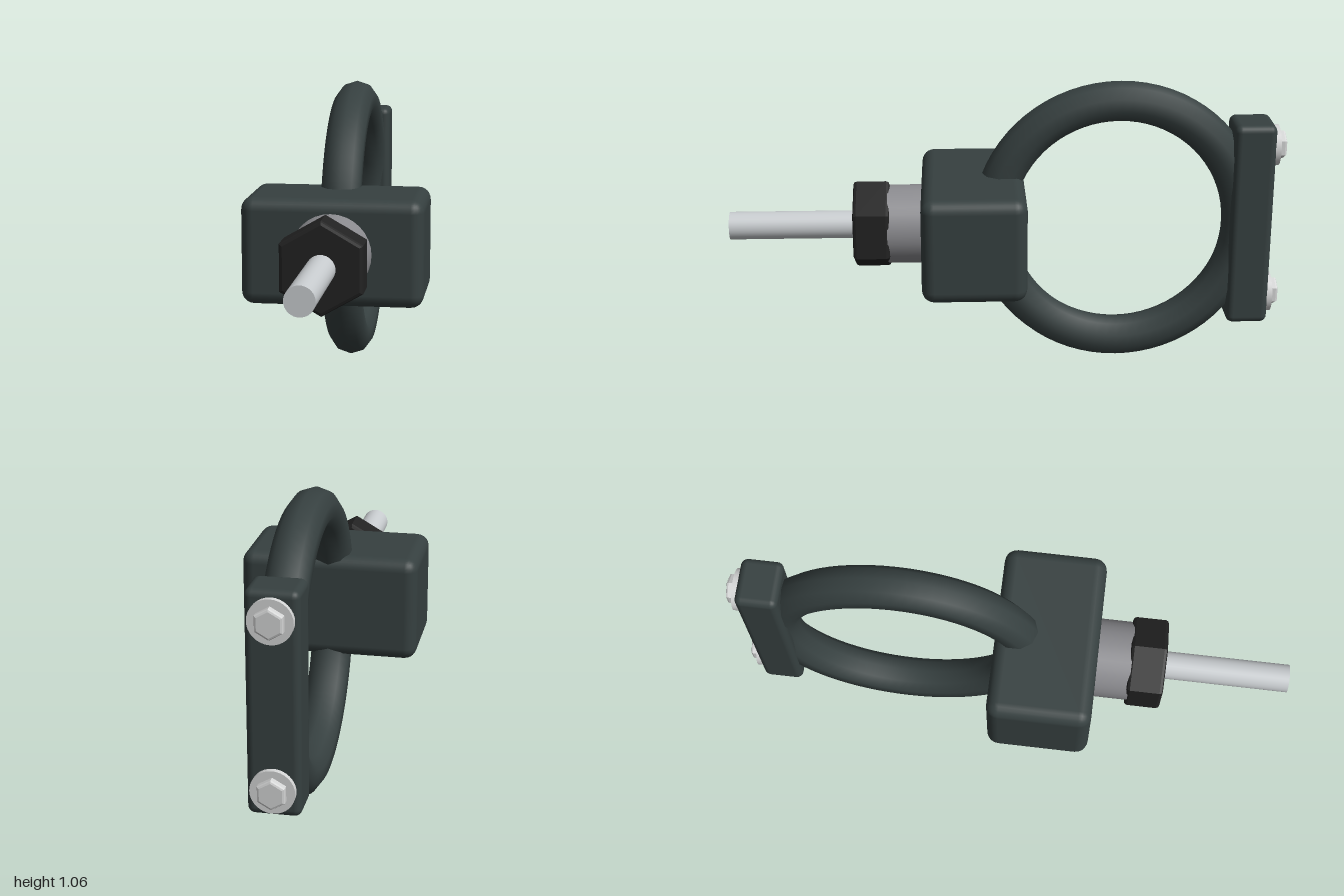
import * as THREE from 'three';
import { RoundedBoxGeometry } from 'three/addons/geometries/RoundedBoxGeometry.js';

const CY = 0.532; // height of the main axis

const material = (name, color) => {
  const m = new THREE.MeshStandardMaterial({ color });
  m.name = name;
  return m;
};

// Bevelled hexagonal prism along z, corners pointing up and down
function hexPrism(radius, depth, bevel) {
  const shape = new THREE.Shape();
  const r = radius - bevel / Math.cos(Math.PI / 6);
  for (let i = 0; i < 6; i++) {
    const a = Math.PI / 2 + (i * Math.PI) / 3;
    shape[i ? 'lineTo' : 'moveTo'](r * Math.cos(a), r * Math.sin(a));
  }
  shape.closePath();
  const geo = new THREE.ExtrudeGeometry(shape, {
    depth: depth - 2 * bevel, bevelEnabled: true,
    bevelThickness: bevel, bevelSize: bevel, bevelSegments: 2,
  });
  return geo.translate(0, 0, bevel - depth / 2);
}

// Cylinder along z
const rod = (radius, depth) =>
  new THREE.CylinderGeometry(radius, radius, depth, 32).rotateX(Math.PI / 2);

export function createModel() {
  const group = new THREE.Group();
  const body = material('dark green grey', 0x364040);
  const black = material('black', 0x222222);
  const grey = material('mid grey', 0x8c8c90);
  const steel = material('light steel', 0xc8cccf);
  const bright = material('bright metal', 0xd4d5d5);

  const add = (name, geo, mat, y, z) => {
    const mesh = new THREE.Mesh(geo, mat);
    mesh.name = name;
    mesh.position.set(0, y, z);
    group.add(mesh);
  };

  // Block and the ring running through it
  add('block', new RoundedBoxGeometry(0.64, 0.38, 0.37, 3, 0.045), body, CY, 0.123);
  add('ring', new THREE.TorusGeometry(0.454, 0.074, 10, 72).rotateY(Math.PI / 2), body, CY, -0.403);

  // Shaft, collar and nut at the front
  add('collar', rod(0.142, 0.16), grey, CY, 0.35);
  add('nut', hexPrism(0.163, 0.13, 0.012), black, CY, 0.487);
  add('shaft', rod(0.05, 0.6), steel, CY, 0.7);

  // Clamp plate with two bolts at the back
  add('clampPlate', new RoundedBoxGeometry(0.176, 0.758, 0.15, 3, 0.025), body, CY, -0.881);
  for (const side of [1, -1]) {
    const y = CY + side * 0.285;
    add('washer', rod(0.074, 0.024), bright, y, -0.962);
    add('boltHead', hexPrism(0.052, 0.04, 0.008), bright, y, -0.98);
  }
  return group;
}
